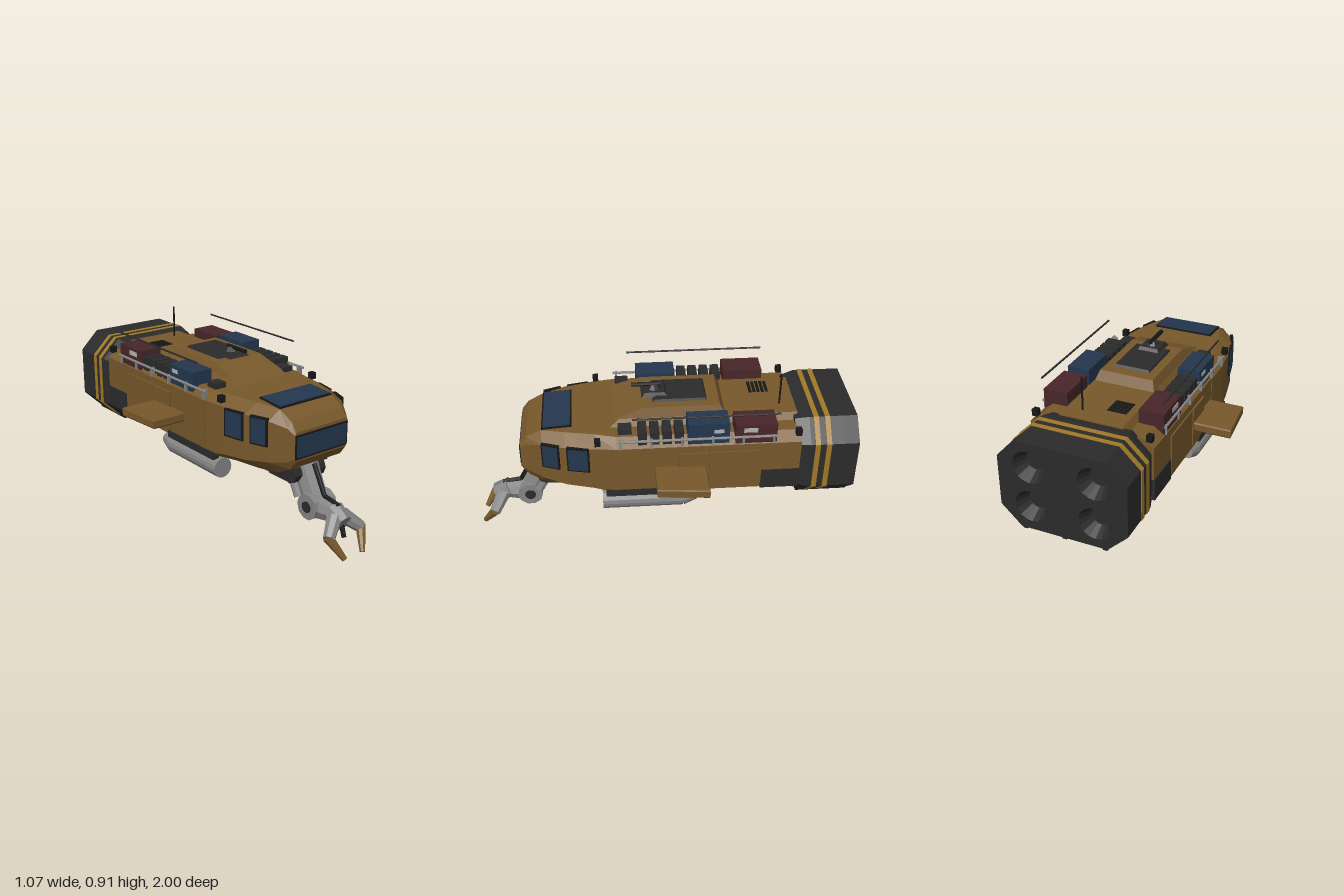
import * as THREE from 'three';

const mat = (name, color) => {
  const m = new THREE.MeshStandardMaterial({ color, flatShading: true });
  m.name = name;
  return m;
};

export function createModel() {
  const root = new THREE.Group();
  const brown = mat('hull brown', 0x77582b), dark = mat('charcoal', 0x2b2b2b), grey = mat('steel grey', 0x858585);
  const blue = mat('navy blue', 0x24374f), red = mat('maroon', 0x482629), gold = mat('gold', 0xa27a26);
  const pale = mat('pale label', 0xb4b4b0), black = mat('black', 0x171717);
  dark.side = THREE.DoubleSide;

  const add = (name, geo, m, x = 0, y = 0, z = 0) => {
    const mesh = new THREE.Mesh(geo, m);
    mesh.name = name;
    mesh.position.set(x, y, z);
    root.add(mesh);
    return mesh;
  };
  // box given by its extents
  const box = (name, m, x0, x1, y0, y1, z0, z1) =>
    add(name, new THREE.BoxGeometry(Math.abs(x1 - x0), y1 - y0, z1 - z0), m, (x0 + x1) / 2, (y0 + y1) / 2, (z0 + z1) / 2);
  // box whose top is drawn in at the sides, front and back
  const taper = (name, m, w, y0, y1, z0, z1, side, front, back) => {
    const mesh = box(name, m, -w, w, y0, y1, z0, z1);
    const p = mesh.geometry.attributes.position;
    for (let i = 0; i < p.count; i++) if (p.getY(i) > 0) {
      p.setX(i, p.getX(i) - Math.sign(p.getX(i)) * side);
      p.setZ(i, p.getZ(i) - (p.getZ(i) > 0 ? front : -back));
    }
    mesh.geometry.computeVertexNormals();
    return mesh;
  };
  // tapered round bar between two points
  const bar = (name, m, a, b, r0, r1 = r0, sides = 8) => {
    const p = new THREE.Vector3(...a), q = new THREE.Vector3(...b), d = q.clone().sub(p);
    const mesh = add(name, new THREE.CylinderGeometry(r1, r0, d.length(), sides), m);
    mesh.position.copy(p).add(q).multiplyScalar(0.5);
    mesh.quaternion.setFromUnitVectors(new THREE.Vector3(0, 1, 0), d.normalize());
    return mesh;
  };
  // eight-sided section: half width, flat half widths, heights from top to bottom
  const ring = ([z, w, tw, bw, top, ct, cb, bot]) =>
    [[w, cb], [w, ct], [tw, top], [-tw, top], [-w, ct], [-w, cb], [-bw, bot], [bw, bot]].map(([x, y]) => [x, y, z]);
  const loft = (name, m, stations) => {
    const r = stations.map(ring), pos = [];
    for (let i = 0; i < r.length - 1; i++) for (let j = 0; j < 8; j++) {
      const k = (j + 1) % 8;
      pos.push(...r[i][j], ...r[i][k], ...r[i + 1][k], ...r[i][j], ...r[i + 1][k], ...r[i + 1][j]);
    }
    const a = r[0], b = r[r.length - 1];
    for (let j = 1; j < 7; j++) pos.push(...a[0], ...a[j + 1], ...a[j], ...b[0], ...b[j], ...b[j + 1]);
    const g = new THREE.BufferGeometry();
    g.setAttribute('position', new THREE.Float32BufferAttribute(pos, 3));
    g.computeVertexNormals();
    return add(name, g, m);
  };

  // hull and rounded cockpit nose
  loft('hull', brown, [
    [-0.7, 0.325, 0.27, 0.25, 0.7, 0.66, 0.38, 0.35],
    [0.24, 0.325, 0.27, 0.25, 0.7, 0.66, 0.38, 0.35],
    [0.36, 0.312, 0.24, 0.22, 0.702, 0.66, 0.41, 0.35],
    [0.5, 0.285, 0.21, 0.2, 0.7, 0.655, 0.42, 0.355],
    [0.62, 0.24, 0.17, 0.18, 0.69, 0.645, 0.435, 0.365],
    [0.7, 0.19, 0.165, 0.165, 0.65, 0.62, 0.45, 0.405],
    [0.735, 0.172, 0.165, 0.165, 0.605, 0.59, 0.47, 0.455],
  ]);
  // cockpit glass
  box('windscreenFrame', black, -0.17, 0.17, 0.465, 0.59, 0.73, 0.738);
  box('windscreen', blue, -0.16, 0.16, 0.475, 0.58, 0.734, 0.742);
  const roof = box('roofWindowFrame', black, -0.168, 0.168, 0.695, 0.703, 0.465, 0.62);
  const roofGlass = box('roofWindow', blue, -0.16, 0.16, 0.699, 0.707, 0.472, 0.612);
  roof.rotation.x = roofGlass.rotation.x = 0.07;

  // roof decks
  taper('roofDeck', brown, 0.2, 0.68, 0.735, -0.7, 0.3, 0.035, 0.08, 0);
  taper('raisedDeck', brown, 0.165, 0.73, 0.785, -0.33, 0.25, 0.02, 0.16, 0.03);
  taper('hatch', dark, 0.1, 0.78, 0.797, -0.24, 0.05, 0.008, 0.02, 0.01);
  taper('turret', dark, 0.062, 0.79, 0.812, -0.04, 0.1, 0.012, 0.02, 0.02);
  bar('turretDome', dark, [0, 0.8, 0.03], [0, 0.835, 0.03], 0.045, 0.02);
  bar('turretBarrel', black, [0, 0.834, 0.0], [0, 0.834, 0.15], 0.011);
  for (let i = 0; i < 5; i++) box('ventSlat', black, -0.13, -0.03, 0.733, 0.739, -0.58 + i * 0.022, -0.565 + i * 0.022);
  bar('antenna', black, [0.08, 0.73, -0.62], [0.08, 0.91, -0.62], 0.005);

  // belly
  const belly = taper('bellyPlate', brown, 0.22, 0.29, 0.36, -0.62, 0.3, 0, 0, 0);
  const bp = belly.geometry.attributes.position;
  for (let i = 0; i < bp.count; i++) if (bp.getY(i) < 0) {
    bp.setX(i, bp.getX(i) * 0.92);
    bp.setY(i, bp.getZ(i) > 0 ? -0.05 : -0.015);
    if (bp.getZ(i) > 0) bp.setZ(i, 0.33);
  }
  belly.geometry.computeVertexNormals();
  box('chinPlate', dark, -0.17, 0.17, 0.343, 0.365, 0.3, 0.61);

  // matching fittings on both sides
  for (const s of [1, -1]) {
    [[0.435, 0.298, 0.1, 0.21], [0.575, 0.259, 0.08, 0.34]].forEach(([z, x, len, yaw]) => {
      const f = add('sideWindowFrame', new THREE.BoxGeometry(0.016, 0.145, len + 0.016), black, s * x, 0.588, z);
      const g = add('sideWindow', new THREE.BoxGeometry(0.022, 0.125, len), blue, s * (x + 0.001), 0.588, z);
      f.rotation.y = g.rotation.y = -s * yaw;
    });
    // side panels
    box('frontPanel', brown, s * 0.32, s * 0.329, 0.41, 0.66, 0.06, 0.23);
    box('middlePanel', brown, s * 0.31, s * 0.336, 0.41, 0.62, -0.22, -0.07);
    box('rearPanel', brown, s * 0.31, s * 0.333, 0.41, 0.62, -0.5, -0.23);
    box('darkPanel', dark, s * 0.31, s * 0.33, 0.375, 0.49, -0.7, -0.5);
    box('sill', dark, s * 0.29, s * 0.328, 0.36, 0.4, -0.1, 0.3);
    // short wing, swept at the front
    const wing = new THREE.Shape([[0.3, -0.21], [0.53, -0.21], [0.508, 0.045], [0.3, 0.045]].map(([x, z]) => new THREE.Vector2(s * x, -z)));
    const wg = new THREE.ExtrudeGeometry(wing, { depth: 0.034, bevelEnabled: true, bevelSize: 0.004, bevelThickness: 0.007, bevelSegments: 1 });
    add('wing', wg.rotateX(-Math.PI / 2), brown, 0, 0.499, 0);
    // tank under the hull
    bar('tank', grey, [s * 0.28, 0.313, -0.1], [s * 0.28, 0.313, 0.32], 0.054, 0.054, 16);
    bar('tankTail', grey, [s * 0.28, 0.313, -0.1], [s * 0.28, 0.325, -0.17], 0.054, 0.036, 16);
    // roof rail, long rod and marker lamps
    bar('roofRail', grey, [s * 0.325, 0.705, -0.57], [s * 0.325, 0.705, 0.24], 0.007);
    for (let i = 0; i < 6; i++) box('railPost', grey, s * 0.3, s * 0.33, 0.66, 0.712, -0.56 + i * 0.155, -0.55 + i * 0.155);
    bar('longRod', dark, [s * 0.32, 0.836, -0.58], [s * 0.32, 0.836, 0.16], 0.005);
    box('frontLamp', black, s * 0.285, s * 0.315, 0.675, 0.71, 0.32, 0.35);
    box('rearLamp', black, s * 0.285, s * 0.315, 0.69, 0.725, -0.7, -0.67);
    box('railLocker', dark, s * 0.19, s * 0.255, 0.68, 0.728, 0.16, 0.23);
    // cargo
    box('redCrate', red, s * 0.19, s * 0.32, 0.65, 0.772, -0.57, -0.36);
    box('redCrateLabel', pale, s * 0.318, s * 0.323, 0.73, 0.755, -0.47, -0.4);
    const z = s > 0 ? -0.33 : -0.095, h = s > 0 ? 0.785 : 0.77;
    box('blueCrate', blue, s * 0.195, s * 0.315, 0.66, h, z, z + 0.21);
    box('blueCrateLabel', pale, s * 0.313, s * 0.318, 0.73, 0.75, z + 0.03, z + 0.08);
    for (let i = 0; i < 4; i++) {
      const rz = (s > 0 ? -0.1 : -0.345) + i * 0.062;
      box('rackCan', dark, s * 0.205, s * 0.31, 0.66, 0.745, rz, rz + 0.045);
    }
  }

  // engine block with banded collar
  const eng = (z, k) => [z, 0.33 * k, 0.225 * k, 0.225 * k, 0.503 + 0.237 * k, 0.503 + 0.135 * k, 0.503 - 0.135 * k, 0.503 - 0.237 * k];
  loft('engineBlock', dark, [eng(-0.93, 1), eng(-0.75, 1), eng(-0.68, 0.93)]);
  for (const z of [-0.785, -0.843]) loft('goldBand', gold, [eng(z - 0.013, 1.012), eng(z + 0.013, 1.012)]);
  const face = new THREE.Shape(ring(eng(0, 1)).map(([x, y]) => new THREE.Vector2(x, y)));
  for (const x of [-0.165, 0.165]) for (const y of [0.395, 0.611]) {
    face.holes.push(new THREE.Path().absarc(x, y, 0.085, 0, Math.PI * 2, true));
    const bell = add('thrusterBell', new THREE.CylinderGeometry(0.05, 0.085, 0.068, 16, 1, true), dark, x, y, -0.966);
    bell.rotation.x = Math.PI / 2;
  }
  add('engineRear', new THREE.ExtrudeGeometry(face, { depth: 0.07, bevelEnabled: false, curveSegments: 12 }), dark, 0, 0, -1);
  for (const x of [-0.21, 0, 0.21]) box('engineSkid', black, x - 0.012, x + 0.012, 0.255, 0.3, -0.995, -0.72);

  // jointed arm
  box('armMount', dark, -0.1, 0.1, 0.29, 0.37, 0.47, 0.62);
  bar('shoulder', dark, [-0.1, 0.335, 0.62], [0.1, 0.335, 0.62], 0.05);
  bar('upperArm', grey, [0, 0.37, 0.62], [0, 0.2, 0.71], 0.068, 0.062);
  for (const s of [1, -1]) bar('piston', grey, [s * 0.075, 0.35, 0.6], [s * 0.075, 0.225, 0.665], 0.022);
  bar('elbow', grey, [-0.07, 0.185, 0.72], [0.07, 0.185, 0.72], 0.068, 0.068, 10);
  bar('elbowCap', dark, [-0.075, 0.185, 0.72], [0.075, 0.185, 0.72], 0.03, 0.03, 10);
  bar('forearm', grey, [0, 0.175, 0.7], [0, 0.185, 0.86], 0.072, 0.05);
  bar('wrist', grey, [0, 0.19, 0.83], [0, 0.15, 0.91], 0.058, 0.045);
  bar('armCable', black, [0, 0.39, 0.69], [0, 0.245, 0.77], 0.012);
  bar('armCable', black, [0, 0.245, 0.77], [0, 0.23, 0.87], 0.012);
  bar('palmRod', black, [0, 0.22, 0.87], [0, 0.08, 0.915], 0.012);
  for (const s of [1, -1]) {
    bar('clawKnuckle', grey, [s * 0.025, 0.175, 0.87], [s * 0.108, 0.105, 0.92], 0.04, 0.03);
    bar('clawTip', brown, [s * 0.11, 0.115, 0.915], [s * 0.06, 0.01, 0.985], 0.027, 0.014);
  }
  return root;
}
